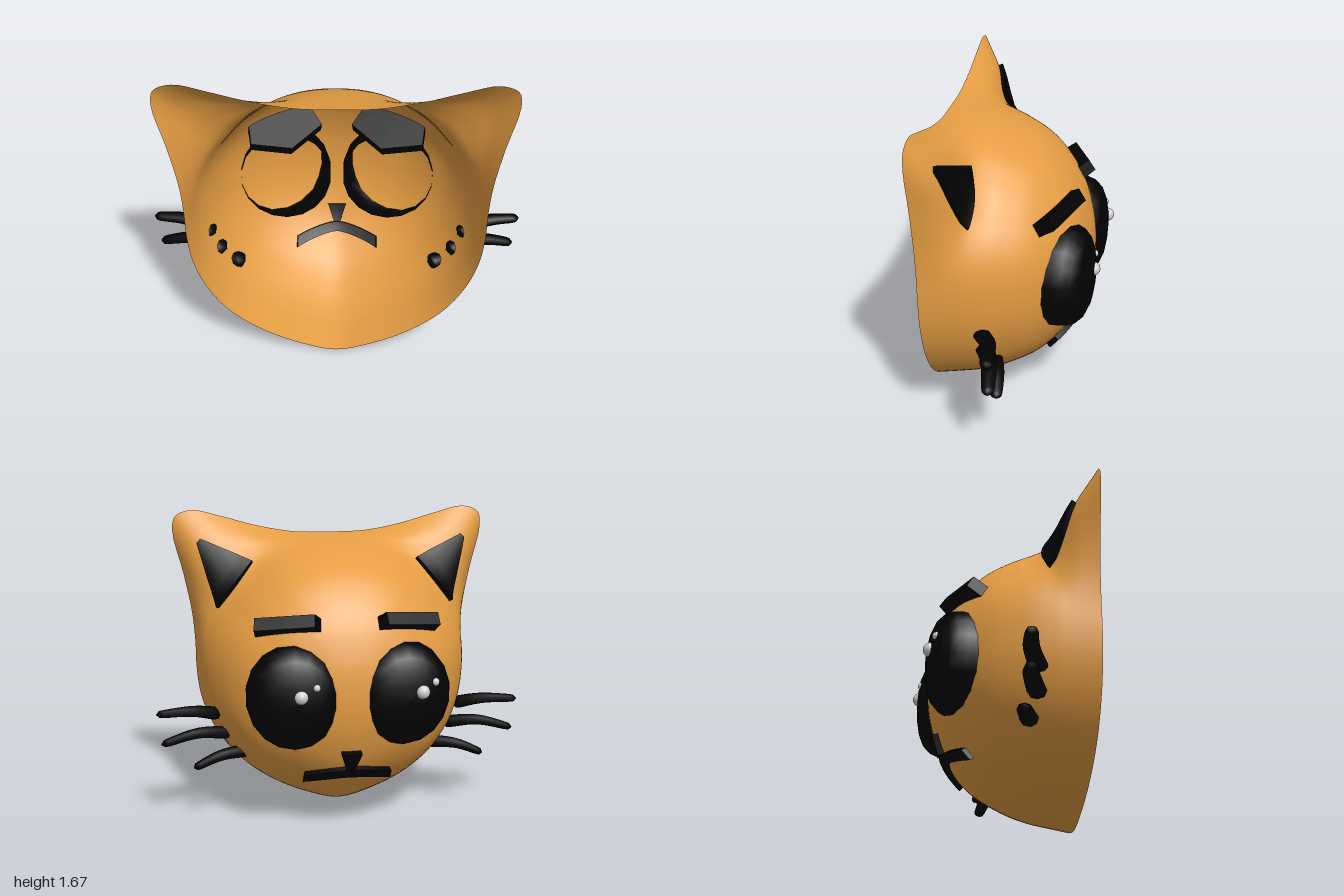
import * as THREE from 'three';
import { mergeVertices } from 'three/addons/utils/BufferGeometryUtils.js';

export function createModel() {
  const group = new THREE.Group();
  const orange = new THREE.MeshStandardMaterial({ color: 0xe59d43, side: THREE.DoubleSide });
  orange.name = 'orange fur';
  const black = new THREE.MeshStandardMaterial({ color: 0x020202, side: THREE.DoubleSide });
  black.name = 'black';
  const white = new THREE.MeshStandardMaterial({ color: 0xd0d0d0 });
  white.name = 'eye shine';

  const add = (name, geometry, material) => {
    const mesh = new THREE.Mesh(geometry, material);
    mesh.name = name;
    group.add(mesh);
    return mesh;
  };
  const weld = (geo) => {
    geo.deleteAttribute('uv');
    geo.deleteAttribute('normal');
    const g = mergeVertices(geo, 1e-4);
    g.computeVertexNormals();
    return g;
  };

  // Head outlines from chin to crown: [round x, round y, eared x, eared y]
  const half = [
    [0, 0, 0, 0], [0.2, 0.05, 0.2, 0.05], [0.4, 0.145, 0.4, 0.145], [0.57, 0.28, 0.57, 0.28],
    [0.685, 0.45, 0.685, 0.45], [0.745, 0.62, 0.745, 0.62], [0.765, 0.78, 0.765, 0.78],
    [0.76, 0.93, 0.767, 0.93], [0.73, 1.05, 0.78, 1.1], [0.68, 1.15, 0.82, 1.32],
    [0.625, 1.225, 0.872, 1.555], [0.59, 1.27, 0.855, 1.635], [0.55, 1.315, 0.765, 1.667],
    [0.47, 1.385, 0.6, 1.63], [0.35, 1.465, 0.4, 1.575], [0.18, 1.52, 0.2, 1.54], [0, 1.535, 0, 1.535],
  ];
  const loop = [...half, ...half.slice(1, -1).reverse().map(([a, b, c, d]) => [-a, b, -c, d])];
  const ring = (k) => new THREE.CatmullRomCurve3(
    loop.map((p) => new THREE.Vector3(p[k], p[k + 1], 0)), true, 'centripetal');
  const round = ring(0), eared = ring(2);

  // Dome profile from face centre to open rim: (scale, z, ear amount)
  const dome = new THREE.CatmullRomCurve3([
    [0, -0.355, 0], [0.14, -0.348, 0], [0.27, -0.33, 0], [0.49, -0.27, 0], [0.66, -0.18, 0],
    [0.785, -0.08, 0], [0.88, 0.05, 0], [0.918, 0.12, 0], [0.946, 0.19, 0.06],
    [0.963, 0.25, 0.3], [0.977, 0.31, 0.62], [1, 0.413, 1],
  ].map((p) => new THREE.Vector3(...p)), false, 'centripetal');

  const shell = new THREE.PlaneGeometry(1, 1, 128, 48);
  const sp = shell.attributes.position, suv = shell.attributes.uv;
  for (let i = 0; i < sp.count; i++) {
    const u = suv.getX(i) % 1;
    const d = dome.getPoint(suv.getY(i));
    const a = round.getPoint(u), b = eared.getPoint(u);
    sp.setXYZ(i,
      d.x * a.x + d.z * (b.x - a.x),
      0.76 + d.x * (a.y - 0.76) + d.z * (b.y - a.y),
      d.y);
  }
  const head = add('headShell', weld(shell), orange);

  // Curved plate laid on the head; outline(a, b) maps [-1,1] squared to x, y
  const caster = new THREE.Raycaster();
  const plate = (name, outline, outer, inner) => {
    const geo = new THREE.BoxGeometry(2, 2, 2, 14, 8, 1);
    const pos = geo.attributes.position;
    for (let i = 0; i < pos.count; i++) {
      const [x, y] = outline(pos.getX(i), pos.getY(i));
      caster.set(new THREE.Vector3(x + 1e-4, y + 1e-4, -3), new THREE.Vector3(0, 0, 1));
      const hit = caster.intersectObject(head)[0];
      const p = hit.point.addScaledVector(hit.normal, pos.getZ(i) < 0 ? outer : inner);
      pos.setXYZ(i, p.x, p.y, p.z);
    }
    geo.computeVertexNormals();
    return add(name, geo, black);
  };

  plate('mouth', (a, b) => [0.23 * a, 0.355 - 0.046 * Math.pow(Math.abs(a), 1.4) + 0.025 * b], 0.028, -0.02);
  plate('nose', (a, b) => [a * (0.036 + 0.016 * b), 0.428 + 0.048 * b], 0.033, -0.01);

  // Half profile of the deep open bowl used for the eyes: [radius, depth]
  const eyeProfile = [[0.25, 0], [0.254, 0.06], [0.249, 0.11], [0.232, 0.155], [0.195, 0.195],
    [0.14, 0.22], [0.07, 0.233], [0, 0.237]].map((p) => new THREE.Vector2(...p));

  for (const side of [1, -1]) {
    const label = side > 0 ? 'left' : 'right';

    // Ear patch: tip towards the ear point, base spanning the ear root
    plate(label + 'EarPatch', (a, b) => {
      const s = (1 + a * side) / 2, t = (1 + b) / 2;
      const x = (0.45 + 0.19 * s) * (1 - t) + (0.72 + 0.02 * s) * t;
      const y = (1.40 - 0.24 * s) * (1 - t) + (1.515 - 0.02 * s) * t;
      return [side * x, y];
    }, 0.025, 0.002);

    // Eye: open bowl with its rim sunk into the head
    const eye = add(label + 'Eye', new THREE.LatheGeometry(eyeProfile, 18).rotateX(-Math.PI / 2), black);
    eye.scale.set(1, 1.11, 1);
    eye.position.set(side * 0.282, 0.763, -0.157);
    eye.rotation.y = -side * 0.06;

    // Eyebrow: deep bar pushed through the forehead, wedge-shaped inside
    const bar = new THREE.BoxGeometry(0.32, 0.07, 0.27, 2, 1, 1);
    const bp = bar.attributes.position;
    for (let i = 0; i < bp.count; i++) {
      if (bp.getZ(i) < 0) continue;
      bp.setZ(i, 0.145 - 0.55 * Math.abs(bp.getX(i)));
      bp.setX(i, bp.getX(i) * 1.25);
    }
    bar.computeVertexNormals();
    const brow = add(label + 'Brow', bar, black);
    brow.position.set(side * 0.29, 1.09, -0.145);
    brow.rotation.set(0.55, -side * 0.42, -side * 0.12, 'YXZ');

    // Whiskers: tapered curved tubes
    const whiskers = [
      [[0.655, 0.585, 0.125], [0.8, 0.625, 0.06], [1, 0.625, 0.025]],
      [[0.6, 0.475, 0.125], [0.78, 0.5, 0.06], [0.98, 0.455, 0.025]],
      [[0.505, 0.375, 0.105], [0.66, 0.37, 0.05], [0.81, 0.315, 0.02]],
    ];
    whiskers.forEach((pts, n) => {
      const path = new THREE.CatmullRomCurve3(pts.map(([x, y, z]) => new THREE.Vector3(side * x, y, z)));
      const geo = new THREE.TubeGeometry(path, 20, 0.038, 8);
      const pos = geo.attributes.position, uv = geo.attributes.uv;
      const p = new THREE.Vector3();
      for (let i = 0; i < pos.count; i++) {
        const t = uv.getX(i), c = path.getPointAt(t);
        const f = (1 - 0.45 * t) * Math.sqrt(Math.max(0, 1 - Math.pow(Math.abs(2 * t - 1), 14)));
        p.fromBufferAttribute(pos, i).sub(c).multiplyScalar(f);
        pos.setXYZ(i, c.x + p.x, c.y + p.y, c.z + p.z * 1.4);
      }
      add(label + 'Whisker' + (n + 1), weld(geo), black);
    });
  }

  // Eye highlights: both lean the same way
  [[-0.36, 0.8, -0.38, 0.037], [-0.43, 0.845, -0.355, 0.022],
    [0.27, 0.8, -0.382, 0.037], [0.19, 0.845, -0.378, 0.02]].forEach(([x, y, z, r]) => {
    add('eyeHighlight', new THREE.SphereGeometry(r, 16, 12), white).position.set(x, y, z);
  });

  return group;
}
